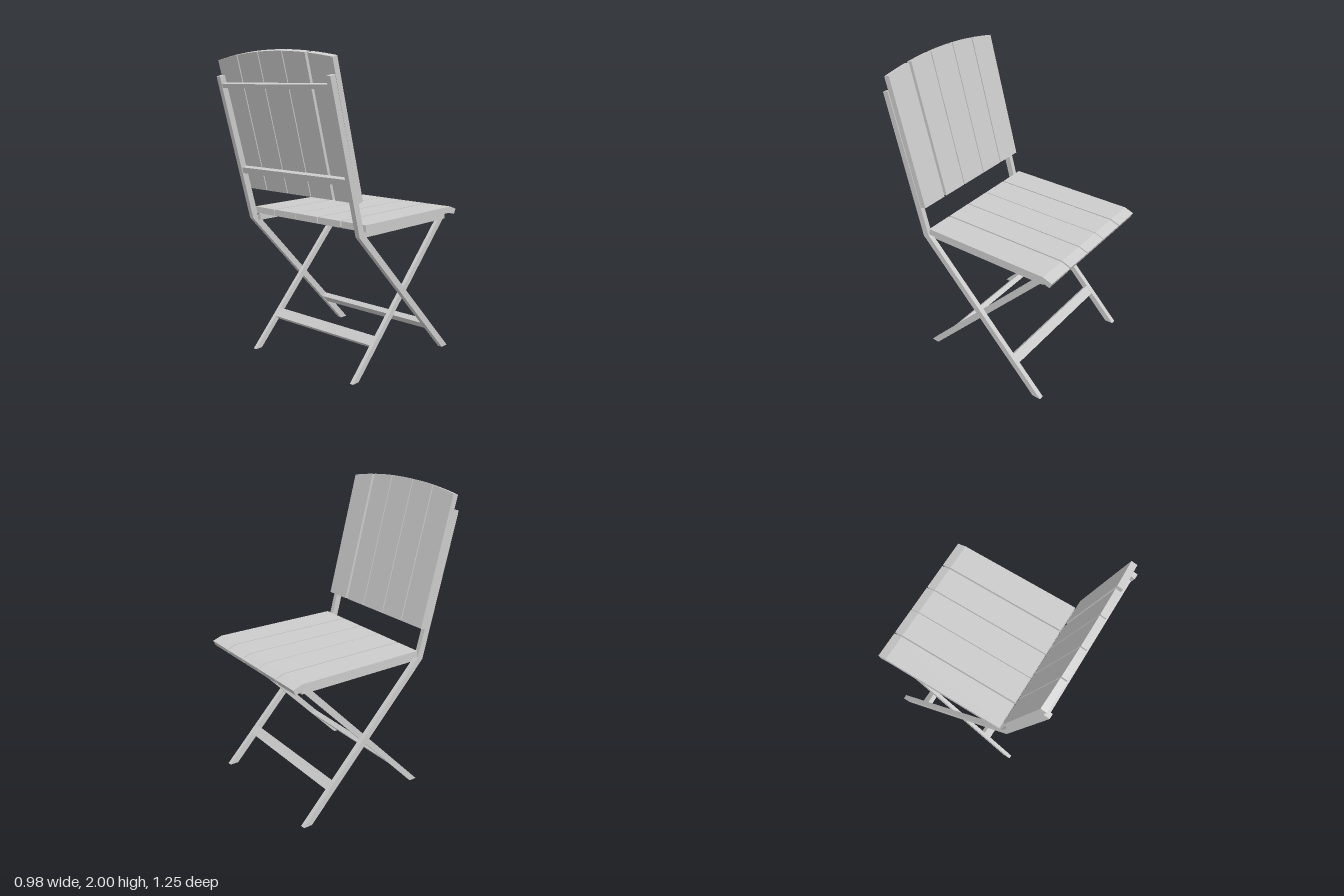
import * as THREE from 'three';

const material = new THREE.MeshStandardMaterial({ color: 0xcccccc, flatShading: true });

function addMesh(parent, geometry, name) {
  const mesh = new THREE.Mesh(geometry, material);
  mesh.name = name;
  parent.add(mesh);
  return mesh;
}

function addBox(parent, name, size, position, tilt = 0) {
  const mesh = addMesh(parent, new THREE.BoxGeometry(...size), name);
  mesh.position.set(...position);
  mesh.rotation.x = tilt;
  return mesh;
}

// Extrudes a side outline of [z, y] points from x0 to x1
function addProfile(parent, name, points, x0, x1) {
  const shape = new THREE.Shape(points.map(([z, y]) => new THREE.Vector2(-z, y)));
  const geometry = new THREE.ExtrudeGeometry(shape, { depth: x1 - x0, bevelEnabled: false });
  geometry.rotateY(Math.PI / 2);
  geometry.translate(x0, 0, 0);
  return addMesh(parent, geometry, name);
}

export function createModel() {
  const chair = new THREE.Group();
  chair.name = 'foldingChair';

  // Side frames: bent post and front leg in one piece, crossing rear leg, seat rail
  const postOutline = [[0.625, 1.845], [0.585, 1.855], [0.335, 0.93], [-0.56, 0], [-0.5, 0], [0.375, 0.91]];
  const legOutline = [[0.395, 0], [0.342, 0], [-0.52, 0.896], [-0.463, 0.896]];
  for (const side of [-1, 1]) {
    const label = side > 0 ? 'left' : 'right';
    const span = (a, b) => (side > 0 ? [a, b] : [-b, -a]);
    addProfile(chair, label + 'PostAndFrontLeg', postOutline, ...span(0.455, 0.487));
    addProfile(chair, label + 'RearLeg', legOutline, ...span(0.43, 0.455));
    addBox(chair, label + 'SeatRail', [0.025, 0.04, 0.875], [side * 0.4425, 0.916, -0.1025]);
  }

  // Cross members
  addBox(chair, 'frontSeatRail', [0.86, 0.04, 0.04], [0, 0.916, -0.52]);
  addBox(chair, 'frontLegCrossbar', [0.91, 0.068, 0.036], [0, 0.205, -0.335], 0.765);
  addBox(chair, 'rearLegCrossbar', [0.86, 0.068, 0.036], [0, 0.205, 0.172], -0.765);

  // Seat slats with the front edge turned down
  const seatOutline = [[0.322, 0.98], [-0.56, 0.98], [-0.623, 0.957], [-0.607, 0.923], [-0.55, 0.938], [0.322, 0.938]];
  const seatSlats = [[-0.493, -0.305], [-0.296, -0.103], [-0.098, 0.089], [0.096, 0.283], [0.293, 0.488]];
  seatSlats.forEach(([x0, x1], i) => addProfile(chair, 'seatSlat' + (i + 1), seatOutline, x0, x1));

  // Leaning backrest, slats cut to a shallow arch at the top
  const lean = Math.atan(0.265);
  const backrest = new THREE.Group();
  backrest.name = 'backrest';
  backrest.position.set(0, 1.125, 0.345);
  backrest.rotation.x = lean;
  chair.add(backrest);
  const backSlats = [[-0.493, -0.306], [-0.298, -0.113], [-0.106, 0.094], [0.101, 0.28], [0.301, 0.485]];
  const arch = (x) => 0.905 - 0.19 * x * x;
  backSlats.forEach(([x0, x1], i) => {
    const shape = new THREE.Shape();
    shape.moveTo(x0, 0);
    shape.lineTo(x1, 0);
    for (let k = 0; k <= 4; k++) {
      const x = x1 + ((x0 - x1) * k) / 4;
      shape.lineTo(x, arch(x));
    }
    addMesh(backrest, new THREE.ExtrudeGeometry(shape, { depth: 0.04, bevelEnabled: false }), 'backSlat' + (i + 1));
  });

  // Rails between the posts, behind the slats
  addBox(chair, 'lowerBackRail', [0.91, 0.04, 0.036], [0, 1.246, 0.44], lean);
  addBox(chair, 'upperBackRail', [0.91, 0.026, 0.036], [0, 1.79, 0.588], lean);

  return chair;
}
